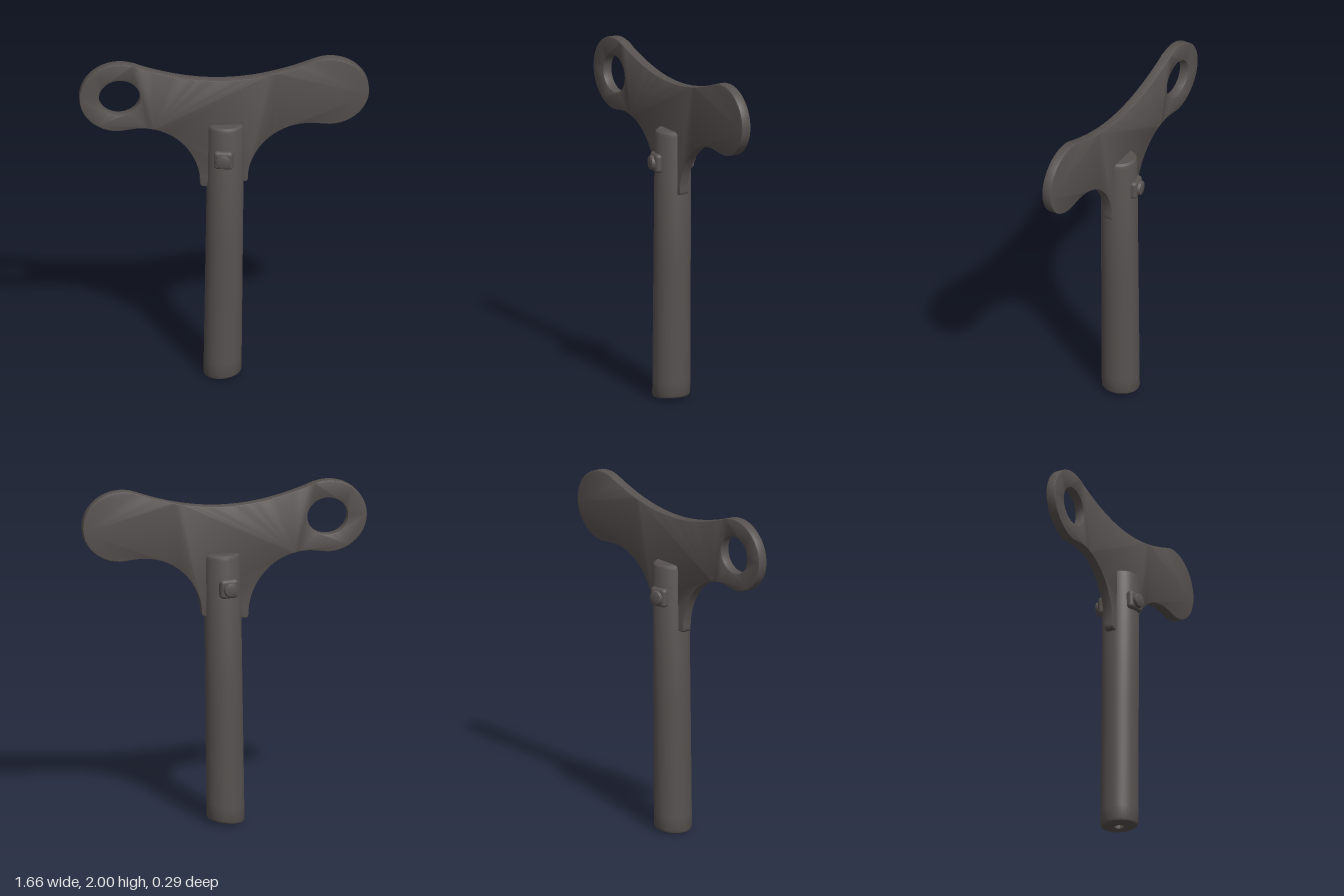
import * as THREE from 'three';
import { toCreasedNormals } from 'three/addons/utils/BufferGeometryUtils.js';
import { RoundedBoxGeometry } from 'three/addons/geometries/RoundedBoxGeometry.js';

const darkIron = new THREE.MeshStandardMaterial({ color: 0x575250 });
darkIron.name = 'dark iron';

function part(name, geometry) {
  const mesh = new THREE.Mesh(geometry, darkIron);
  mesh.name = name;
  return mesh;
}

// Flat handle: two round lobes, a sagging top edge and arched shoulders
function handleGeometry() {
  const s = new THREE.Shape();
  s.moveTo(-0.12, 1.21);
  s.lineTo(0.12, 1.235);
  s.quadraticCurveTo(0.135, 1.235, 0.135, 1.26);
  s.bezierCurveTo(0.135, 1.41, 0.27, 1.6, 0.5, 1.594);
  s.absellipse(0.603, 1.792, 0.227, 0.208, -Math.PI / 2, 1.95, false, 0);
  s.bezierCurveTo(0.15, 1.845, -0.15, 1.845, -0.52, 1.985);
  s.absellipse(-0.604, 1.788, 0.228, 0.212, Math.PI - 1.95, Math.PI * 1.5, false, 0);
  s.lineTo(-0.5, 1.59);
  s.bezierCurveTo(-0.27, 1.595, -0.14, 1.4, -0.14, 1.24);
  s.quadraticCurveTo(-0.14, 1.21, -0.12, 1.21);

  const hole = new THREE.Path();
  hole.absellipse(-0.602, 1.788, 0.118, 0.109, 0, Math.PI * 2, true, 0);
  s.holes.push(hole);

  const g = new THREE.ExtrudeGeometry(s, {
    depth: 0.044, curveSegments: 28,
    bevelEnabled: true, bevelThickness: 0.007, bevelSize: 0.006, bevelOffset: -0.006, bevelSegments: 2,
  });
  g.translate(0, 0, -0.022);
  return toCreasedNormals(g, 0.6);
}

// Round shaft with softened ends and a small bore, leaning slightly, foot cut askew
function shaftGeometry() {
  const profile = [
    [0, 0.06], [0.028, 0.06], [0.028, 0], [0.092, 0], [0.103, 0.006], [0.109, 0.02],
    [0.109, 0.1], [0.107, 0.8], [0.105, 1.575], [0.1, 1.59], [0.086, 1.6], [0, 1.6],
  ].map(([r, y]) => new THREE.Vector2(r, y));
  const g = new THREE.LatheGeometry(profile, 40);
  const p = g.attributes.position;
  for (let i = 0; i < p.count; i++) {
    const x = p.getX(i), y = p.getY(i);
    if (y < 0.2) p.setY(i, y + 0.011 + 0.1 * x);
    p.setX(i, x - 0.01 + 0.0125 * y);
  }
  return toCreasedNormals(g, 0.6);
}

// Domed rivet head on a rounded square washer
function rivet(name) {
  const group = new THREE.Group();
  group.name = name;
  const washer = part('washer', new RoundedBoxGeometry(0.112, 0.112, 0.06, 3, 0.022));
  washer.position.z = 0.094;
  const profile = [[0.043, 0], [0.043, 0.045], [0.039, 0.053], [0.03, 0.057], [0, 0.057]]
    .map(([r, y]) => new THREE.Vector2(r, y));
  const head = part('rivetHead', toCreasedNormals(new THREE.LatheGeometry(profile, 20), 0.6));
  head.rotation.x = Math.PI / 2;
  head.position.z = 0.087;
  group.add(washer, head);
  return group;
}

export function createModel() {
  const model = new THREE.Group();
  model.name = 'windingKey';
  model.add(part('handle', handleGeometry()), part('shaft', shaftGeometry()));

  // Rivets on both faces, turned slightly towards the right side
  for (const side of [1, -1]) {
    const r = rivet(side > 0 ? 'frontRivet' : 'backRivet');
    r.position.set(0.008, 1.41, 0);
    r.rotation.y = side > 0 ? -0.18 : Math.PI + 0.18;
    model.add(r);
  }
  return model;
}
